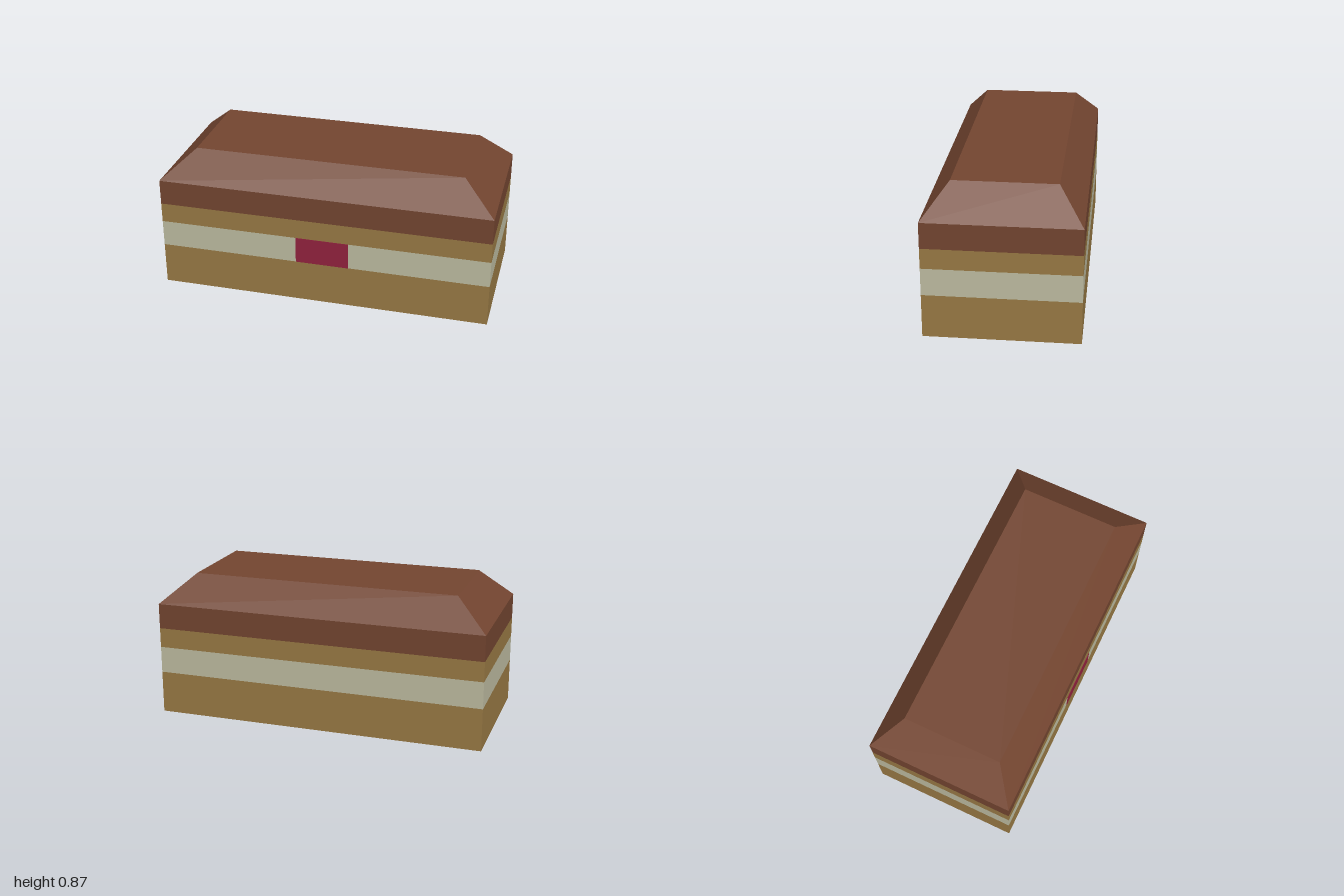
import * as THREE from 'three';

const paint = (name, color) => {
  const m = new THREE.MeshStandardMaterial({ color });
  m.name = name;
  return m;
};

// Four flat walls between two rectangles [halfX, y, halfZ], with optional end caps
function loft(lower, upper, { floor = false, top = false } = {}) {
  const ring = ([x, y, z]) => [[-x, y, z], [x, y, z], [x, y, -z], [-x, y, -z]];
  const b = ring(lower), t = ring(upper), points = [];
  const quad = (p, q, r, s) => points.push(...p, ...q, ...r, ...p, ...r, ...s);
  for (let i = 0; i < 4; i++) {
    const j = (i + 1) % 4;
    quad(b[i], b[j], t[j], t[i]);
  }
  if (floor) quad(b[3], b[2], b[1], b[0]);
  if (top) quad(...t);
  const g = new THREE.BufferGeometry();
  g.setAttribute('position', new THREE.Float32BufferAttribute(points, 3));
  g.computeVertexNormals();
  return g;
}

export function createModel() {
  const group = new THREE.Group();
  group.name = 'chest';
  const tan = paint('tan', 0x987944);
  const cream = paint('cream', 0xbdbba0);
  const brown = paint('brown', 0x734530);
  const crimson = paint('crimson', 0x91223e);

  const add = (name, geometry, material) => {
    const mesh = new THREE.Mesh(geometry, material);
    mesh.name = name;
    group.add(mesh);
    return mesh;
  };

  // Straight body, stacked in colour bands
  const X = 1, Z = 0.445;
  const bands = [
    ['lowerBody', 0, 0.258, tan],
    ['paleBand', 0.258, 0.42, cream],
    ['upperBody', 0.42, 0.54, tan],
    ['lidRim', 0.54, 0.693, brown],
  ];
  for (const [name, y0, y1, material] of bands) {
    add(name, loft([X, y0, Z], [X, y1, Z], { floor: y0 === 0 }), material);
  }

  // Lid with four sloping sides and a flat top
  add('lid', loft([X, 0.693, Z], [0.805, 0.867, 0.299], { top: true }), brown);

  // Thin front panel set on the pale band
  const panel = add('frontPanel', new THREE.BoxGeometry(0.32, 0.162, 0.004), crimson);
  panel.position.set(0, 0.339, Z);

  return group;
}
